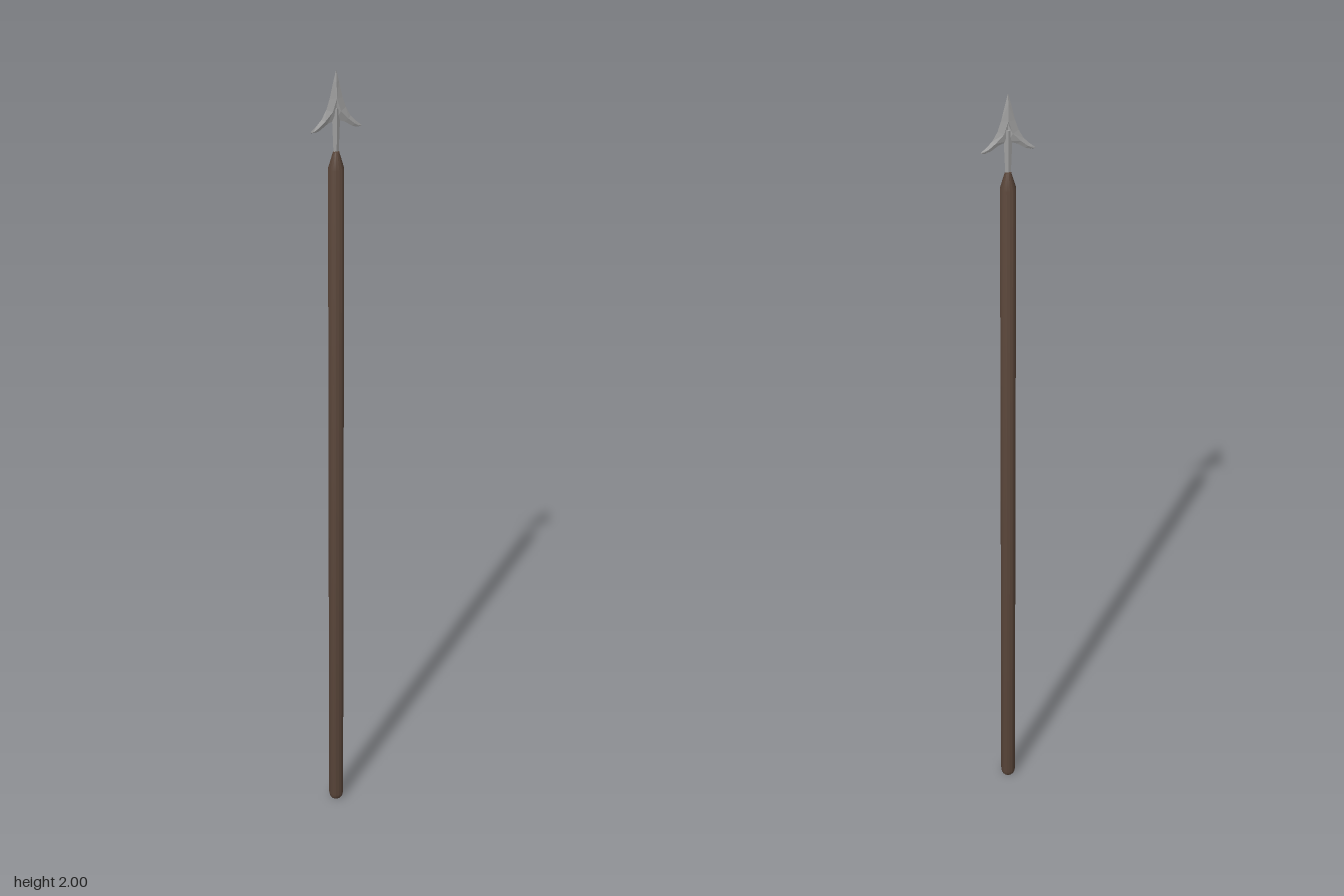
import * as THREE from 'three';
import { toCreasedNormals } from 'three/addons/utils/BufferGeometryUtils.js';

// Half of the barbed head, from the point down and out to the barb tip.
// Each section: outer edge x,y; ridge x,y; inner edge x,y; half thickness.
const HEAD = [
  [0, 2.0, 0, 2.0, 0, 2.0, 0],
  [0.007, 1.972, 0, 1.972, 0, 1.972, 0.003],
  [0.016, 1.933, 0, 1.933, 0, 1.925, 0.005],
  [0.024, 1.908, 0.010, 1.902, 0, 1.882, 0.005],
  [0.036, 1.886, 0.029, 1.881, 0.021, 1.874, 0.004],
  [0.049, 1.872, 0.045, 1.867, 0.040, 1.861, 0.003],
  [0.063, 1.860, 0.057, 1.859, 0.051, 1.857, 0.001],
  [0.062, 1.858, 0.062, 1.858, 0.062, 1.858, 0],
];

function headHalf(side) {
  const rings = HEAD.map(([ox, oy, mx, my, ix, iy, t]) => [
    [ox * side, oy, 0], [mx * side, my, t], [ix * side, iy, 0], [mx * side, my, -t],
  ]);
  const pos = [];
  for (let i = 0; i < rings.length - 1; i++) {
    for (let j = 0; j < 4; j++) {
      const k = (j + 1) % 4;
      const a = rings[i][j], b = rings[i][k], c = rings[i + 1][k], d = rings[i + 1][j];
      const tris = side > 0 ? [a, b, c, a, c, d] : [a, c, b, a, d, c];
      tris.forEach((p) => pos.push(...p));
    }
  }
  const geo = new THREE.BufferGeometry();
  geo.setAttribute('position', new THREE.Float32BufferAttribute(pos, 3));
  geo.computeVertexNormals();
  return geo;
}

export function createModel() {
  const wood = new THREE.MeshStandardMaterial({ color: 0x5a463a });
  wood.name = 'dark wood';
  const steel = new THREE.MeshStandardMaterial({ color: 0xa0a0a0 });
  steel.name = 'grey steel';

  const model = new THREE.Group();
  model.name = 'spear';
  const add = (geo, mat, name) => {
    const mesh = new THREE.Mesh(geo, mat);
    mesh.name = name;
    model.add(mesh);
    return mesh;
  };

  // Shaft with rounded butt and tapered upper end
  const profile = [
    [0, 0], [0.013, 0], [0.0165, 0.005], [0.0185, 0.015],
    [0.0185, 1.765], [0.007, 1.805], [0, 1.806],
  ].map(([x, y]) => new THREE.Vector2(x, y));
  add(toCreasedNormals(new THREE.LatheGeometry(profile, 16), 0.5), wood, 'shaft');

  // Two mirrored halves of the barbed blade
  add(headHalf(1), steel, 'leftBlade');
  add(headHalf(-1), steel, 'rightBlade');

  // Flat diamond tang joining blade and shaft
  const tang = new THREE.CylinderGeometry(0.011, 0.006, 0.12, 4).toNonIndexed();
  tang.scale(1, 1, 0.5);
  tang.computeVertexNormals();
  add(tang, steel, 'tang').position.y = 1.85;

  return model;
}
